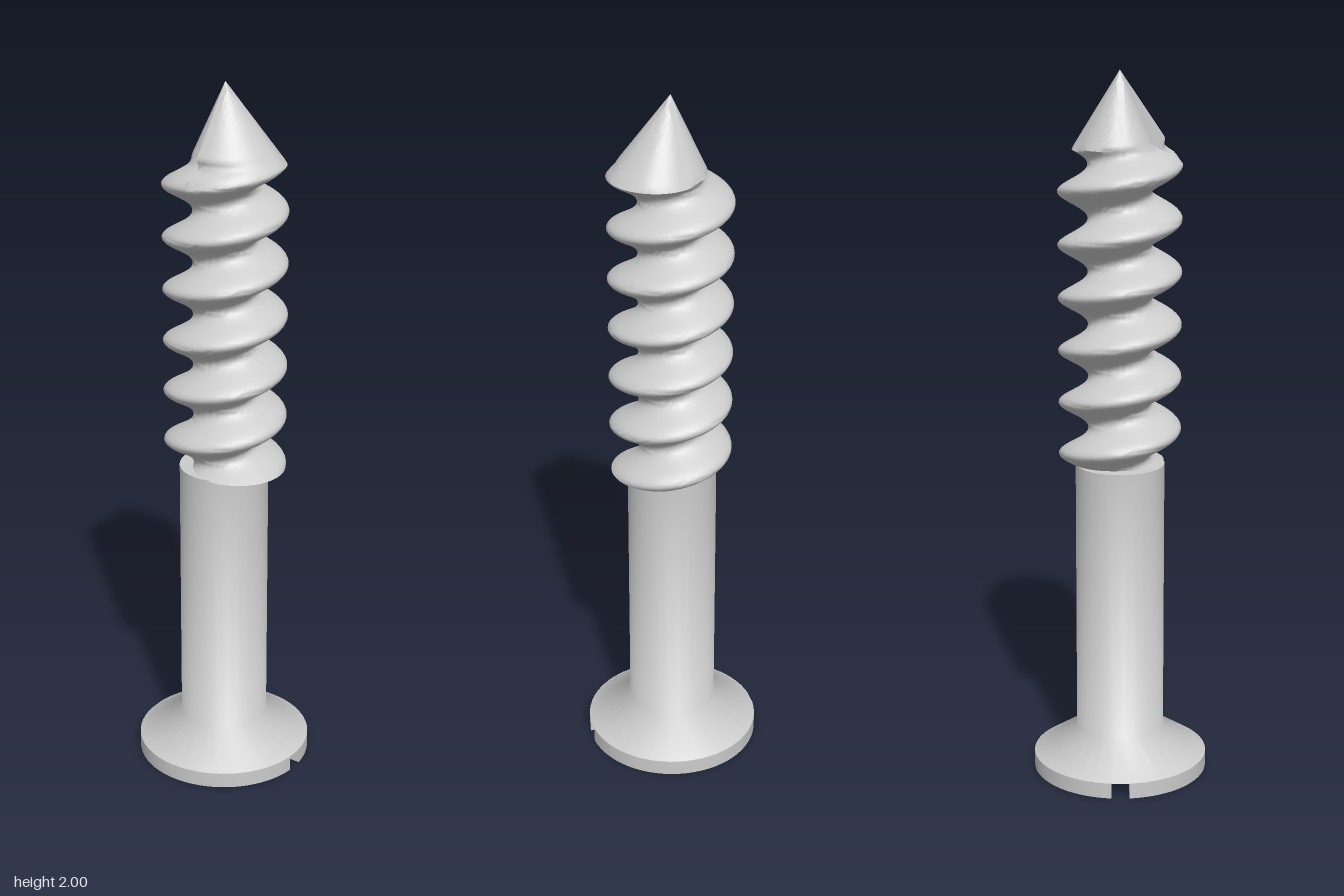
import * as THREE from 'three';
import { toCreasedNormals } from 'three/addons/utils/BufferGeometryUtils.js';

const TAU = Math.PI * 2;
const PITCH = 0.147;
const SEAM = -TAU * 100 / 360; // angle where the thread runs out on the tip

function part(name, geometry, crease) {
  const mesh = new THREE.Mesh(
    toCreasedNormals(geometry, crease),
    new THREE.MeshStandardMaterial({ color: 0xcccccc })
  );
  mesh.name = name;
  return mesh;
}

// Piecewise-linear slope of the tip cone around the axis (degrees, slope)
const SLOPES = [[-100, 0.66], [0, 0.8], [45, 0.72], [90, 0.55], [180, 0.45], [260, 0.45]];
function tipSlope(angle) {
  const d = angle * 360 / TAU;
  for (let i = 1; i < SLOPES.length; i++) {
    const [d0, s0] = SLOPES[i - 1], [d1, s1] = SLOPES[i];
    if (d <= d1) return s0 + (s1 - s0) * (d - d0) / (d1 - d0);
  }
  return 0.45;
}

// Radius of the threaded section, cut down to a spiralling cone at the tip
function threadRadius(angle, y) {
  const crestY = 1.64 + PITCH * angle / TAU;
  const wave = 0.5 + 0.5 * Math.cos(TAU * (y - crestY) / PITCH);
  const thread = 0.088 + 0.083 * Math.pow(wave, 1.1);
  const cone = tipSlope(angle) * (2 - y) + 2 * Math.max(0, crestY + 0.05 - y);
  return Math.min(thread, y > 1.8 ? Math.max(cone, 0) : cone);
}

// Tip flanks above the last turn follow the cone only
function surfaceRadius(angle, y) {
  const cone = tipSlope(angle) * (2 - y);
  const blend = THREE.MathUtils.smoothstep(y, 1.78, 1.82);
  return THREE.MathUtils.lerp(threadRadius(angle, y), cone, blend);
}

function threadGeometry() {
  const cols = 64, rows = 136, bottom = 0.908;
  const positions = [], index = [];
  for (let j = -1; j <= rows; j++) {
    const y = bottom + (2 - bottom) * Math.max(j, 0) / rows;
    // The extra last column returns to the start and forms the seam wall
    for (let i = 0; i <= cols + 1; i++) {
      const angle = SEAM + TAU * (i > cols ? 0 : i / cols);
      const r = j < 0 ? 0 : surfaceRadius(angle, y);
      positions.push(r * Math.cos(angle), y, -r * Math.sin(angle));
    }
  }
  const stride = cols + 2;
  for (let j = 0; j <= rows; j++) {
    for (let i = 0; i <= cols; i++) {
      const a = j * stride + i, b = a + 1, c = a + stride, d = c + 1;
      index.push(a, b, d, a, d, c);
    }
  }
  const geometry = new THREE.BufferGeometry();
  geometry.setAttribute('position', new THREE.Float32BufferAttribute(positions, 3));
  geometry.setIndex(index);
  return geometry;
}

export function createModel() {
  const model = new THREE.Group();
  model.name = 'screw';

  // Countersunk flare and plain shank
  const profile = [[0, 0.045], [0.248, 0.045], [0.125, 0.125], [0.125, 0.91], [0, 0.91]]
    .map(([x, y]) => new THREE.Vector2(x, y));
  model.add(part('shank', new THREE.LatheGeometry(profile, 32), 1.1));

  // Head rim: two half discs leaving the driver slot between them
  const rim = new THREE.Group();
  rim.name = 'headRim';
  const start = Math.asin(0.025 / 0.248);
  for (const turn of [0, Math.PI]) {
    const half = new THREE.Shape();
    half.absarc(0, 0, 0.248, start, Math.PI - start, false);
    half.closePath();
    const geometry = new THREE.ExtrudeGeometry(half, { depth: 0.045, bevelEnabled: false, curveSegments: 16 });
    geometry.rotateX(-Math.PI / 2).rotateY(turn);
    rim.add(part('headHalf', geometry, 0.6));
  }
  rim.rotation.y = -0.1;
  model.add(rim);

  // Helical thread and pointed tip
  const thread = part('threadAndTip', threadGeometry(), 0.9);
  thread.position.x = 0.004;
  model.add(thread);
  return model;
}
